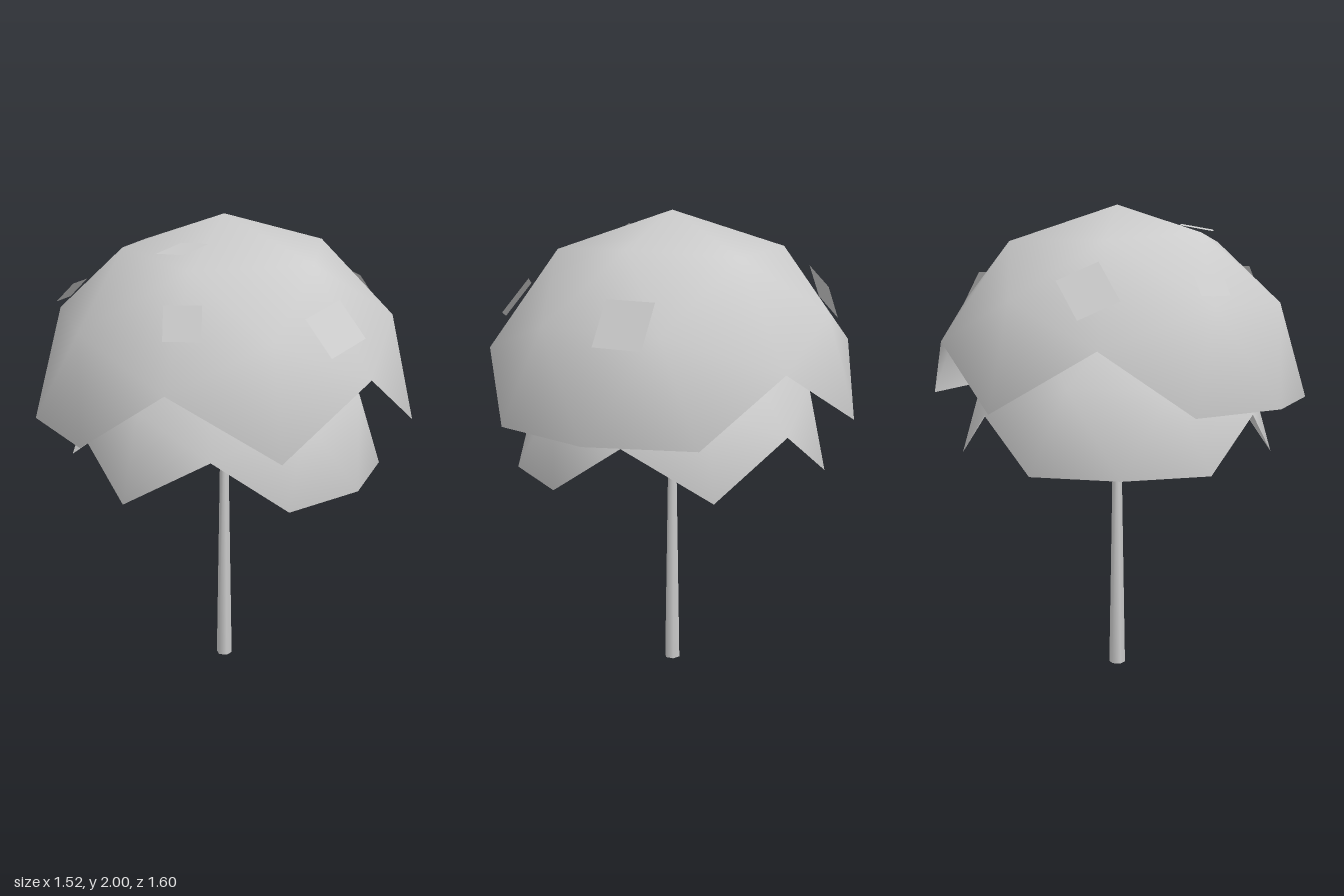
import * as THREE from 'three';

const grey = new THREE.MeshStandardMaterial({ color: 0xcccccc });
const thin = new THREE.MeshStandardMaterial({ color: 0xcccccc, side: THREE.DoubleSide });

// Open half of a smooth icosphere: keeps only faces whose centre lies above
// the equator, which leaves a zigzag rim.
function canopyGeometry(radius) {
  const sphere = new THREE.IcosahedronGeometry(radius, 1);
  const p = sphere.attributes.position;
  const positions = [];
  const normals = [];
  for (let i = 0; i < p.count; i += 3) {
    if (p.getY(i) + p.getY(i + 1) + p.getY(i + 2) < 0.01) continue;
    for (let k = i; k < i + 3; k++) {
      const v = new THREE.Vector3().fromBufferAttribute(p, k);
      positions.push(v.x, v.y, v.z);
      v.normalize();
      normals.push(v.x, v.y, v.z);
    }
  }
  const geo = new THREE.BufferGeometry();
  geo.setAttribute('position', new THREE.Float32BufferAttribute(positions, 3));
  geo.setAttribute('normal', new THREE.Float32BufferAttribute(normals, 3));
  return geo;
}

function canopy(name, radius, y, turn) {
  const mesh = new THREE.Mesh(canopyGeometry(radius), thin);
  mesh.name = name;
  mesh.position.y = y;
  mesh.rotation.y = turn;
  return mesh;
}

// Flat leaf card given by its centre and its two edge vectors.
function leaf(centre, u, v) {
  const U = new THREE.Vector3(...u);
  const V = new THREE.Vector3(...v);
  const N = new THREE.Vector3().crossVectors(U, V).normalize();
  const geo = new THREE.PlaneGeometry(1, 1);
  geo.applyMatrix4(new THREE.Matrix4().makeBasis(U, V, N));
  const mesh = new THREE.Mesh(geo, thin);
  mesh.position.set(...centre);
  return mesh;
}

export function createModel() {
  const tree = new THREE.Group();
  tree.name = 'tree';

  // Slim six-sided trunk, tapering up into the canopy
  const trunk = new THREE.Mesh(new THREE.CylinderGeometry(0.015, 0.035, 1.2, 6), grey);
  trunk.name = 'trunk';
  trunk.position.y = 0.6;
  tree.add(trunk);

  // Two nested open canopies
  tree.add(canopy('upperCanopy', 0.8, 1.2, THREE.MathUtils.degToRad(58.28)));
  tree.add(canopy('lowerCanopy', 0.667, 0.95, THREE.MathUtils.degToRad(6.7)));

  // Loose leaves scattered over the upper canopy: centre, edge, edge
  const leaves = new THREE.Group();
  leaves.name = 'leaves';
  [
    [[0.09, 1.907, 0.332], [0.14, 0.01, -0.004], [-0.003, 0.025, -0.14]],
    [[0.293, 1.683, 0.538], [0.11, 0.001, -0.091], [-0.041, 0.122, -0.048]],
    [[-0.487, 1.68, 0.407], [0.074, 0.08, -0.032], [-0.04, 0, -0.108]],
    [[-0.634, 1.66, -0.048], [0.068, 0.144, -0.088], [-0.045, -0.07, -0.155]],
    [[0.643, 1.64, 0.078], [0.112, -0.135, -0.022], [0.011, 0.045, -0.19]],
    [[0.255, 1.637, -0.618], [0.171, 0, 0.108], [0.061, -0.161, -0.095]],
  ].forEach((spec, i) => {
    const card = leaf(...spec);
    card.name = `leaf${i + 1}`;
    leaves.add(card);
  });
  tree.add(leaves);

  return tree;
}
